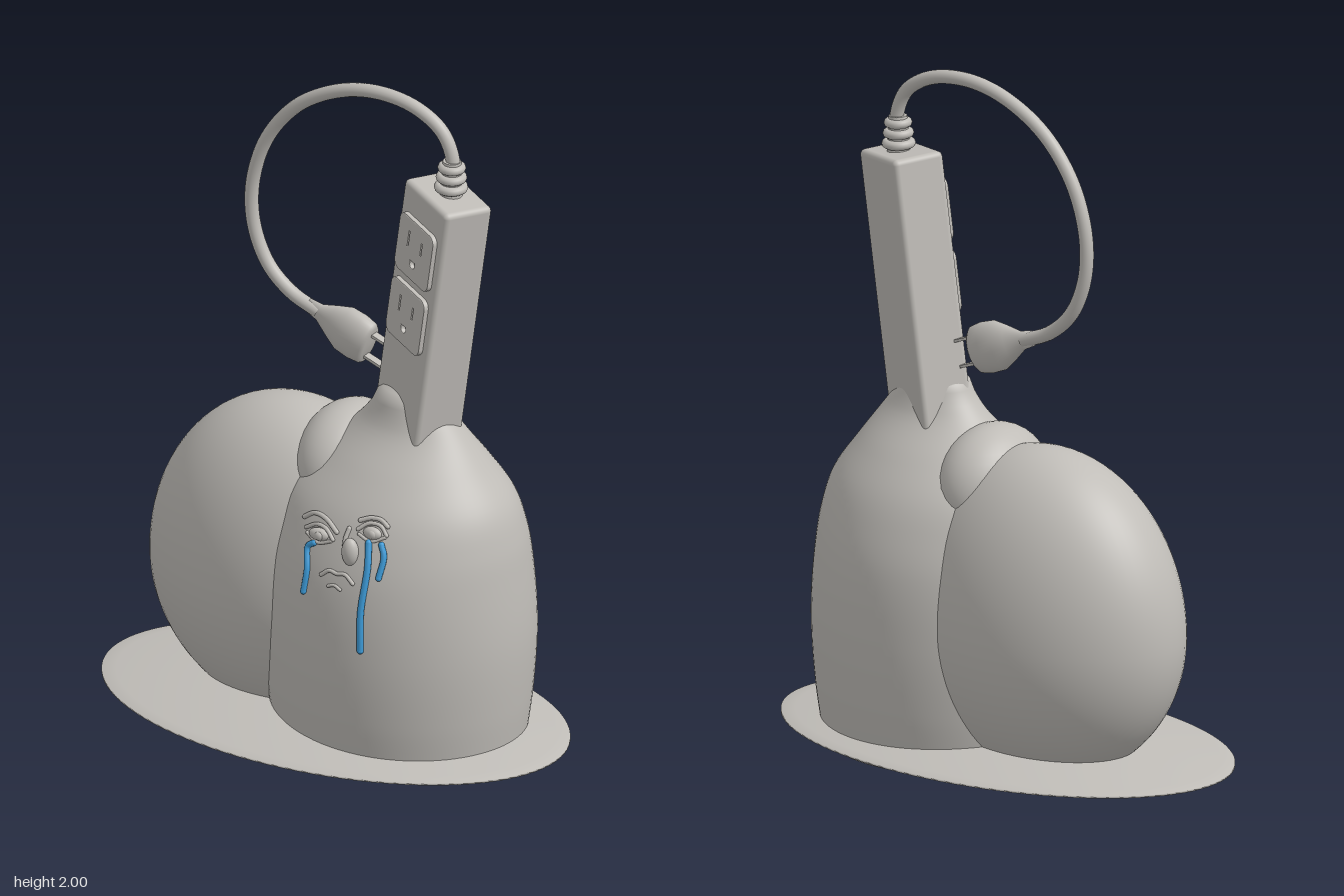
import * as THREE from 'three';
import { mergeVertices } from 'three/addons/utils/BufferGeometryUtils.js';
import { RoundedBoxGeometry } from 'three/addons/geometries/RoundedBoxGeometry.js';

const V = (x, y, z = 0) => new THREE.Vector3(x, y, z);

// Bell body cross-sections: height -> centre x, radius x, radius z
const BODY_Z = -0.015;
const heights = [0.06, 0.2, 0.4, 0.6, 0.7, 0.8, 0.9, 1.0, 1.05, 1.1, 1.14];
const sections = [
  0.2, 0.37, 0.315, 0.2, 0.388, 0.335, 0.2, 0.4, 0.345, 0.2, 0.388, 0.33,
  0.205, 0.37, 0.303, 0.21, 0.335, 0.26, 0.225, 0.25, 0.19, 0.24, 0.16, 0.11,
  0.24, 0.12, 0.09, 0.235, 0.085, 0.07, 0.235, 0.001, 0.001,
];
const bodyCurve = new THREE.CubicInterpolant(heights, sections, 3, new Float32Array(3));

// Point on the front of the body at x, y, lifted by a small amount
function onBody(x, y, lift = 0) {
  const [cx, rx, rz] = bodyCurve.evaluate(y);
  const k = (x - cx) / rx;
  return V(x, y, BODY_Z + rz * Math.sqrt(Math.max(0, 1 - k * k)) + lift);
}

function bodyGeometry() {
  const g = new THREE.CylinderGeometry(1, 1, 1, 80, 60, true);
  const p = g.attributes.position;
  for (let i = 0; i < p.count; i++) {
    const y = 0.06 + (p.getY(i) + 0.5) * 1.08;
    const [cx, rx, rz] = bodyCurve.evaluate(y);
    p.setXYZ(i, cx + p.getX(i) * rx, y, BODY_Z + p.getZ(i) * rz);
  }
  return smooth(g);
}

function smooth(g) {
  g.deleteAttribute('normal');
  g.deleteAttribute('uv');
  const merged = mergeVertices(g, 1e-5);
  merged.computeVertexNormals();
  return merged;
}

// Large side lobe: taller above its middle than below, flat underneath
function lobeGeometry() {
  const g = new THREE.SphereGeometry(1, 64, 48);
  const p = g.attributes.position;
  for (let i = 0; i < p.count; i++) {
    const y = p.getY(i);
    p.setXYZ(i, -0.16 + p.getX(i) * 0.44,
      Math.max(0.06, 0.45 + y * (y > 0 ? 0.515 : 0.44)), -0.04 + p.getZ(i) * 0.3);
  }
  return smooth(g);
}

// Socket plate with two slots and a rounded ground hole
function socketGeometry() {
  const w = 0.087, h = 0.086, r = 0.022;
  const s = new THREE.Shape();
  s.absarc(w - r, h - r, r, 0, Math.PI / 2);
  s.absarc(-w + r, h - r, r, Math.PI / 2, Math.PI);
  s.absarc(-w + r, -h + r, r, Math.PI, Math.PI * 1.5);
  s.absarc(w - r, -h + r, r, Math.PI * 1.5, Math.PI * 2);
  for (const [x, len] of [[-0.034, 0.026], [0.034, 0.021]]) {
    s.holes.push(new THREE.Path([[-1, -1], [-1, 1], [1, 1], [1, -1]].map(
      ([a, b]) => new THREE.Vector2(x + a * 0.005, 0.025 + b * len))));
  }
  const ground = new THREE.Path();
  ground.absarc(0, -0.042, 0.014, 0, Math.PI, true);
  ground.lineTo(-0.014, -0.03);
  ground.lineTo(0.014, -0.03);
  s.holes.push(ground);
  return new THREE.ExtrudeGeometry(s, {
    depth: 0.012, bevelSize: 0.003, bevelThickness: 0.004, bevelSegments: 2, curveSegments: 8,
  });
}

export function createModel() {
  const model = new THREE.Group();
  const clay = new THREE.MeshStandardMaterial({ color: 0xc0bdb8 });
  clay.name = 'warm grey';
  const blue = new THREE.MeshStandardMaterial({ color: 0x3d9bd8 });
  blue.name = 'tear blue';

  const add = (name, geometry, parent = model, material = clay) => {
    const m = new THREE.Mesh(geometry, material);
    m.name = name;
    parent.add(m);
    return m;
  };
  const blob = (name, pos, size, parent = model, seg = 40) => {
    const m = add(name, new THREE.SphereGeometry(1, seg, seg / 2), parent);
    m.position.copy(pos);
    m.scale.set(...size);
    return m;
  };

  // Lens-shaped oval base
  const profile = [];
  for (let i = 0; i <= 16; i++) {
    const r = i / 16;
    profile.push(new THREE.Vector2(r, 0.072 - 0.06 * (1 - r * r)));
  }
  for (let i = 16; i >= 0; i--) {
    const r = i / 16;
    profile.push(new THREE.Vector2(r, 0.078 + 0.057 * (1 - r * r)));
  }
  add('base', new THREE.LatheGeometry(profile, 96)).scale.set(0.72, 1, 0.44);
  blob('baseUnderside', V(0.2, 0.03, BODY_Z), [0.36, 0.03, 0.31]);

  // Body and lobes
  add('body', bodyGeometry());
  add('largeLobe', lobeGeometry());
  blob('smallLobe', V(0.025, 0.815, -0.035), [0.145, 0.18, 0.195]);

  // Power strip, turned and leaning
  const strip = new THREE.Group();
  strip.name = 'powerStrip';
  strip.position.set(0.357, 1.73, -0.022);
  strip.rotation.set(0, -0.47, -0.14, 'ZYX');
  model.add(strip);
  add('stripCase', new RoundedBoxGeometry(0.23, 0.8, 0.155, 4, 0.016), strip).position.y = -0.4;
  const socket = socketGeometry();
  for (const y of [-0.175, -0.382]) add('socket', socket, strip).position.set(0, y, 0.076);

  // Ribbed strain relief on top
  const relief = new THREE.Group();
  relief.name = 'strainRelief';
  relief.position.set(0.363, 1.72, -0.022);
  relief.rotation.z = -0.04;
  model.add(relief);
  add('reliefCore', new THREE.CylinderGeometry(0.026, 0.034, 0.11, 24), relief).position.y = 0.055;
  [0.03, 0.06, 0.09].forEach((y, i) => {
    const ring = add('reliefRing', new THREE.TorusGeometry(0.035 - i * 0.004, 0.013, 10, 32), relief);
    ring.rotation.x = Math.PI / 2;
    ring.position.y = y;
  });

  // Cord loop
  const cordPath = [
    [0.365, 1.75], [0.37, 1.83], [0.335, 1.91], [0.25, 1.963], [0.13, 1.98], [0, 1.955],
    [-0.14, 1.875], [-0.24, 1.75], [-0.288, 1.6], [-0.283, 1.47], [-0.235, 1.36],
    [-0.16, 1.293], [-0.07, 1.255],
  ].map(([x, y]) => V(x, y, -0.023));
  add('cord', new THREE.TubeGeometry(new THREE.CatmullRomCurve3(cordPath), 120, 0.02, 16));

  // Plug with two prongs
  const plug = new THREE.Group();
  plug.name = 'plug';
  plug.position.set(-0.105, 1.268, -0.023);
  plug.rotation.z = -1.92;
  model.add(plug);
  const plugProfile = [[0, 0], [0.022, 0], [0.027, 0.04], [0.052, 0.085], [0.072, 0.125],
    [0.074, 0.17], [0.068, 0.205], [0.058, 0.215], [0, 0.216]];
  add('plugBody', new THREE.LatheGeometry(plugProfile.map(p => new THREE.Vector2(...p)), 40), plug)
    .scale.z = 0.58;
  for (const x of [-0.037, 0.037]) {
    add('prong', new THREE.BoxGeometry(0.008, 0.07, 0.026), plug).position.set(x, 0.24, 0);
  }

  // Face strokes follow the body surface
  const face = new THREE.Group();
  face.name = 'face';
  model.add(face);
  const stroke = (name, pts, r, material = clay) => {
    const path = new THREE.CatmullRomCurve3(pts.map(([x, y]) => onBody(x, y, r * 0.4)));
    add(name, new THREE.TubeGeometry(path, 24, r, 8), face, material);
    for (const t of [0, 1]) {
      add(name + 'End', new THREE.SphereGeometry(r, 10, 8), face, material).position.copy(path.getPoint(t));
    }
  };
  for (const [x, y, w] of [[0.112, 0.73, 1], [0.278, 0.77, 0.85]]) {
    blob('eyeball', onBody(x, y), [0.034 * w, 0.019, 0.016], face, 20);
    blob('pupil', onBody(x + 0.004, y, 0.01), [0.014, 0.013, 0.009], face, 16);
    stroke('upperLid', [[x - 0.052 * w, y + 0.004], [x - 0.015, y + 0.024], [x + 0.02, y + 0.022], [x + 0.05 * w, y]], 0.006);
    stroke('lowerLid', [[x - 0.045 * w, y - 0.008], [x, y - 0.021], [x + 0.045 * w, y - 0.006]], 0.005);
  }
  stroke('brow', [[0.045, 0.757], [0.08, 0.778], [0.125, 0.776], [0.17, 0.752]], 0.007);
  stroke('brow', [[0.235, 0.797], [0.265, 0.808], [0.295, 0.807], [0.318, 0.793]], 0.007);
  stroke('noseBridge', [[0.207, 0.77], [0.202, 0.74], [0.206, 0.71]], 0.007);
  blob('nose', onBody(0.225, 0.712, 0.004), [0.025, 0.042, 0.022], face, 24);
  stroke('mouth', [[0.142, 0.63], [0.168, 0.648], [0.195, 0.645], [0.22, 0.648], [0.247, 0.628]], 0.006);
  stroke('chinLine', [[0.17, 0.605], [0.19, 0.611], [0.21, 0.603]], 0.005);

  // Tears
  stroke('tear', [[0.1, 0.705], [0.08, 0.69], [0.09, 0.63], [0.085, 0.565]], 0.009, blue);
  stroke('tear', [[0.275, 0.745], [0.285, 0.68], [0.279, 0.55], [0.282, 0.437]], 0.01, blue);
  stroke('tear', [[0.312, 0.745], [0.325, 0.715], [0.32, 0.655]], 0.009, blue);

  return model;
}
